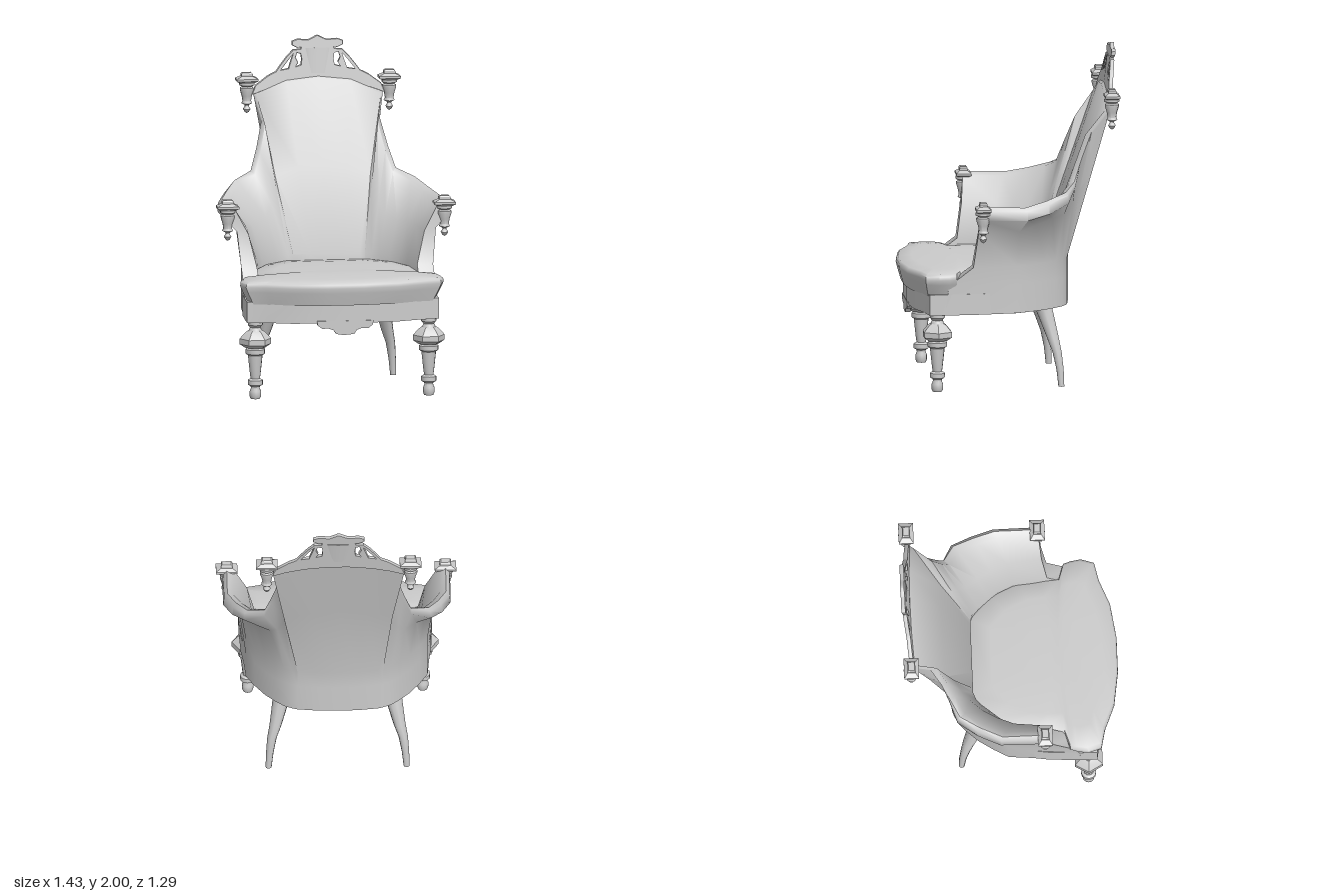
import * as THREE from 'three';
import { toCreasedNormals } from 'three/addons/utils/BufferGeometryUtils.js';

const material = new THREE.MeshStandardMaterial({ color: 0xcccccc, side: THREE.DoubleSide });
const V = (x, y, z) => new THREE.Vector3(x, y, z);
const mix = (a, b, t) => a.clone().lerp(b, t);

function part(name, geometry, crease = 0.6) {
  const mesh = new THREE.Mesh(toCreasedNormals(geometry, crease), material);
  mesh.name = name;
  return mesh;
}

// Skin closed rings of points; both ends are closed by strips joining point j to n-1-j.
function loft(rings) {
  const n = rings[0].length, last = (rings.length - 1) * n, index = [];
  const quad = (a, b, c, d) => index.push(a, b, c, a, c, d);
  for (let i = 0; i < rings.length - 1; i++) {
    for (let j = 0; j < n; j++) {
      const k = (j + 1) % n;
      quad(i * n + j, i * n + k, (i + 1) * n + k, (i + 1) * n + j);
    }
  }
  for (let j = 0; j < n / 2 - 1; j++) {
    quad(j + 1, j, n - 1 - j, n - 2 - j);
    quad(last + j, last + j + 1, last + n - 2 - j, last + n - 1 - j);
  }
  // turn the faces outward
  const p = rings.flat();
  let volume = 0;
  for (let i = 0; i < index.length; i += 3) {
    volume += p[index[i]].dot(p[index[i + 1]].clone().cross(p[index[i + 2]]));
  }
  if (volume < 0) index.reverse();
  return new THREE.BufferGeometry().setFromPoints(p).setIndex(index);
}

// Half outline mirrored over x = 0
const mirrored = (half) => [...half, ...half.map(([x, y]) => [-x, y]).reverse()];
const shapeOf = (pts) => new THREE.Shape(pts.map(([x, y]) => new THREE.Vector2(x, y)));
const lathe = (pts, sides, phi = 0) =>
  new THREE.LatheGeometry(pts.map(([r, y]) => new THREE.Vector2(r, y)), sides, phi);

// One section of the wraparound shell: up the outside, over the rim, down the inside
function shellRing([bx, bz, tx, ty, tz, sx, sz, roll], isFront) {
  const B = V(bx, 0.467, bz), B2 = V(bx, 0.64, bz), W = V(bx, 0.75, bz);
  const S = V(sx, 0.5, sz), S2 = V(sx, 0.64, sz), N = V(sx, 0.75, sz), T = V(tx, ty, tz);
  const out = V(tx - sx, 0, isFront ? 0 : tz - sz).normalize();
  const off = (d, drop) => T.clone().addScaledVector(out, d).setY(ty - drop);
  const U = mix(mix(W, T, 0.55), mix(W, T, 0.28).setY(ty - 0.16), roll);
  const O = mix(mix(W, T, 0.93), off(0.028, 0.075), roll);
  const R = mix(mix(W, T, 0.98), off(0.022, 0.02), roll);
  const I = off(-0.04, 0.02);
  const M = mix(mix(N, I, 0.5), mix(N, T, 0.28).setY(0.95), roll);
  if (isFront) {           // the arm front sweeps forward at its foot
    B.z = S.z = 0.415;
    B2.z = S2.z = 0.39;
    W.z = N.z = 0.245;
  }
  return [B, B2, W, U, O, R, T, I, M, N, S2, S];
}

function makeShell() {
  // base x z, rim x y z, seat x z, arm roll amount; from back centre to arm front
  const stations = [
    [0, -0.363, 0, 1.77, -0.61, 0, -0.22, 0],
    [0.12, -0.36, 0.2, 1.75, -0.608, 0.1, -0.22, 0],
    [0.24, -0.345, 0.39, 1.67, -0.592, 0.2, -0.22, 0],
    [0.27, -0.335, 0.355, 1.52, -0.48, 0.23, -0.22, 0],
    [0.32, -0.31, 0.395, 1.36, -0.415, 0.27, -0.205, 0],
    [0.37, -0.265, 0.435, 1.235, -0.37, 0.31, -0.17, 0.3],
    [0.43, -0.2, 0.54, 1.19, -0.31, 0.36, -0.11, 0.8],
    [0.49, -0.11, 0.6, 1.15, -0.19, 0.41, -0.05, 1],
    [0.54, -0.02, 0.65, 1.12, -0.06, 0.45, 0.04, 1],
    [0.575, 0.22, 0.65, 1.125, 0.2, 0.48, 0.22, 1],
  ];
  const half = stations.map((s, i) => shellRing(s, i === stations.length - 1));
  const other = half.slice(1).reverse().map((r) => r.map((p) => V(-p.x, p.y, p.z)));
  return part('backAndArms', loft([...other, ...half]), 1.1);
}

function makeCushion() {
  const outline = mirrored([[0.11, 0.645], [0.32, 0.615], [0.47, 0.555], [0.585, 0.53], [0.61, 0.45],
    [0.6, 0.39], [0.585, 0.345], [0.49, 0.315], [0.49, 0.2], [0.475, 0.07], [0.39, -0.11], [0.25, -0.235]]);
  const levels = [[0.92, 0.575], [0.98, 0.65], [1, 0.68], [0.995, 0.7], [0.965, 0.714], [0.75, 0.724], [0.4, 0.732]];
  const rings = levels.map(([s, y]) => outline.map(([x, z]) => V(x * s, y, 0.29 + (z - 0.29) * s)));
  return part('seatCushion', loft(rings), 0.8);
}

function makeSeatFrame() {
  const plan = mirrored([[0.11, 0.6], [0.32, 0.575], [0.46, 0.525], [0.575, 0.505], [0.575, 0.41],
    [0.565, 0.22], [0.53, -0.02], [0.48, -0.11], [0.42, -0.19], [0.36, -0.255], [0.26, -0.325], [0.12, -0.35]]);
  return part('seatFrame', loft([0.465, 0.59].map((y) => plan.map(([x, z]) => V(x, y, z)))));
}

function makePendant() {
  const shape = shapeOf(mirrored([[0.17, 0.48], [0.165, 0.455], [0.14, 0.435], [0.1, 0.435], [0.07, 0.425],
    [0.055, 0.402], [0.02, 0.396]]));
  const mesh = part('apronOrnament', new THREE.ExtrudeGeometry(shape, { depth: 0.03, bevelEnabled: false }));
  mesh.position.z = 0.572;
  return mesh;
}

// Pierced crest over the back, leaning back with height
function makeCrest() {
  const shape = shapeOf(mirrored([[0.004, 1.996], [0.03, 1.983], [0.055, 1.972], [0.12, 1.976], [0.15, 1.965],
    [0.15, 1.945], [0.12, 1.93], [0.095, 1.932], [0.1, 1.918], [0.145, 1.915], [0.185, 1.875], [0.225, 1.825],
    [0.25, 1.79], [0.3, 1.765], [0.375, 1.71], [0.395, 1.66], [0.31, 1.69], [0.2, 1.715], [0.06, 1.73]]));
  for (const s of [1, -1]) {
    const holes = [
      [[0.145, 1.895], [0.18, 1.855], [0.225, 1.797], [0.175, 1.805], [0.165, 1.835], [0.155, 1.865]],
      [[0.1, 1.895], [0.125, 1.9], [0.135, 1.87], [0.12, 1.84], [0.135, 1.815], [0.1, 1.825], [0.095, 1.86]],
    ];
    for (const h of holes) shape.holes.push(shapeOf(h.map(([x, y]) => [s * x, y])));
  }
  const g = new THREE.ExtrudeGeometry(shape, {
    depth: 0.012, bevelEnabled: true, bevelThickness: 0.006, bevelSize: 0.003, bevelSegments: 1,
  });
  const p = g.attributes.position;
  for (let i = 0; i < p.count; i++) {
    p.setZ(i, p.getZ(i) - 0.6 - (p.getY(i) - 1.72) * 0.15);
  }
  const group = new THREE.Group();
  group.name = 'crest';
  // raised centre panel
  const panel = part('crestPanel', new THREE.CylinderGeometry(0.1, 0.075, 0.15, 12));
  panel.scale.z = 0.18;
  panel.position.set(0, 1.85, -0.613);
  panel.rotation.x = -0.15;
  group.add(part('crestRail', g), panel);
  return group;
}

// Turned finial with a square cap; its origin is the top
function makeFinial(name, x, y, z) {
  const group = new THREE.Group();
  group.name = name;
  const body = [[0, -0.245], [0.012, -0.238], [0.023, -0.22], [0.012, -0.202], [0.014, -0.195], [0.033, -0.185],
    [0.026, -0.17], [0.031, -0.14], [0.042, -0.105], [0.042, -0.092], [0.03, -0.085], [0.046, -0.075],
    [0.046, -0.06], [0.03, -0.05]];
  const cap = [[0, -0.06], [0.045, -0.06], [0.064, -0.05], [0.064, -0.037], [0.034, -0.022], [0.034, -0.008],
    [0.026, 0], [0, 0]];
  const square = lathe(cap.map(([r, h]) => [r * Math.SQRT2, h]), 4, Math.PI / 4);
  square.scale(1, 1, 0.69);
  group.add(part('finialBody', lathe(body, 10), 0.8), part('finialCap', square));
  group.position.set(x, y, z);
  return group;
}

function makeFrontLeg(x) {
  const group = new THREE.Group();
  group.name = 'frontLeg';
  const turned = [[0, 0], [0.028, 0], [0.034, 0.015], [0.034, 0.045], [0.026, 0.065], [0.028, 0.075], [0.045, 0.085],
    [0.045, 0.112], [0.028, 0.122], [0.032, 0.15], [0.044, 0.262], [0.058, 0.272], [0.058, 0.298], [0.04, 0.306], [0.04, 0.33]];
  const block = [[0, 0.3], [0.062, 0.308], [0.095, 0.33], [0.095, 0.362], [0.062, 0.398], [0.045, 0.41], [0, 0.41]];
  const neck = [[0.045, 0.4], [0.032, 0.43], [0.045, 0.445], [0.045, 0.47]];
  group.add(part('turnedShaft', lathe(turned, 12), 0.7), part('hexBlock', lathe(block, 6, Math.PI / 6)),
    part('legNeck', lathe(neck, 12)));
  group.position.set(x, 0, 0.455);
  return group;
}

// Splayed back leg: round sections along a bent path
function makeBackLeg(s) {
  const path = [[0.325, 0.48, -0.19, 0.055], [0.342, 0.4, -0.215, 0.047], [0.368, 0.28, -0.25, 0.036],
    [0.39, 0.2, -0.272, 0.028], [0.403, 0.1, -0.288, 0.022], [0.41, 0, -0.295, 0.018]];
  const rings = path.map(([x, y, z, r]) => Array.from({ length: 10 }, (_, i) => {
    const a = i / 10 * Math.PI * 2;
    return V(s * x + r * Math.cos(a), y, z + r * Math.sin(a));
  }));
  return part('backLeg', loft(rings), 0.8);
}

export function createModel() {
  const chair = new THREE.Group();
  chair.name = 'armchair';
  chair.add(makeShell(), makeCushion(), makeSeatFrame(), makePendant(), makeCrest());
  for (const s of [1, -1]) {
    chair.add(makeFrontLeg(s * 0.52), makeBackLeg(s));
    chair.add(makeFinial('armFinial', s * 0.65, 1.155, 0.193));
    chair.add(makeFinial('backFinial', s * 0.427, 1.79, -0.595));
  }
  return chair;
}
